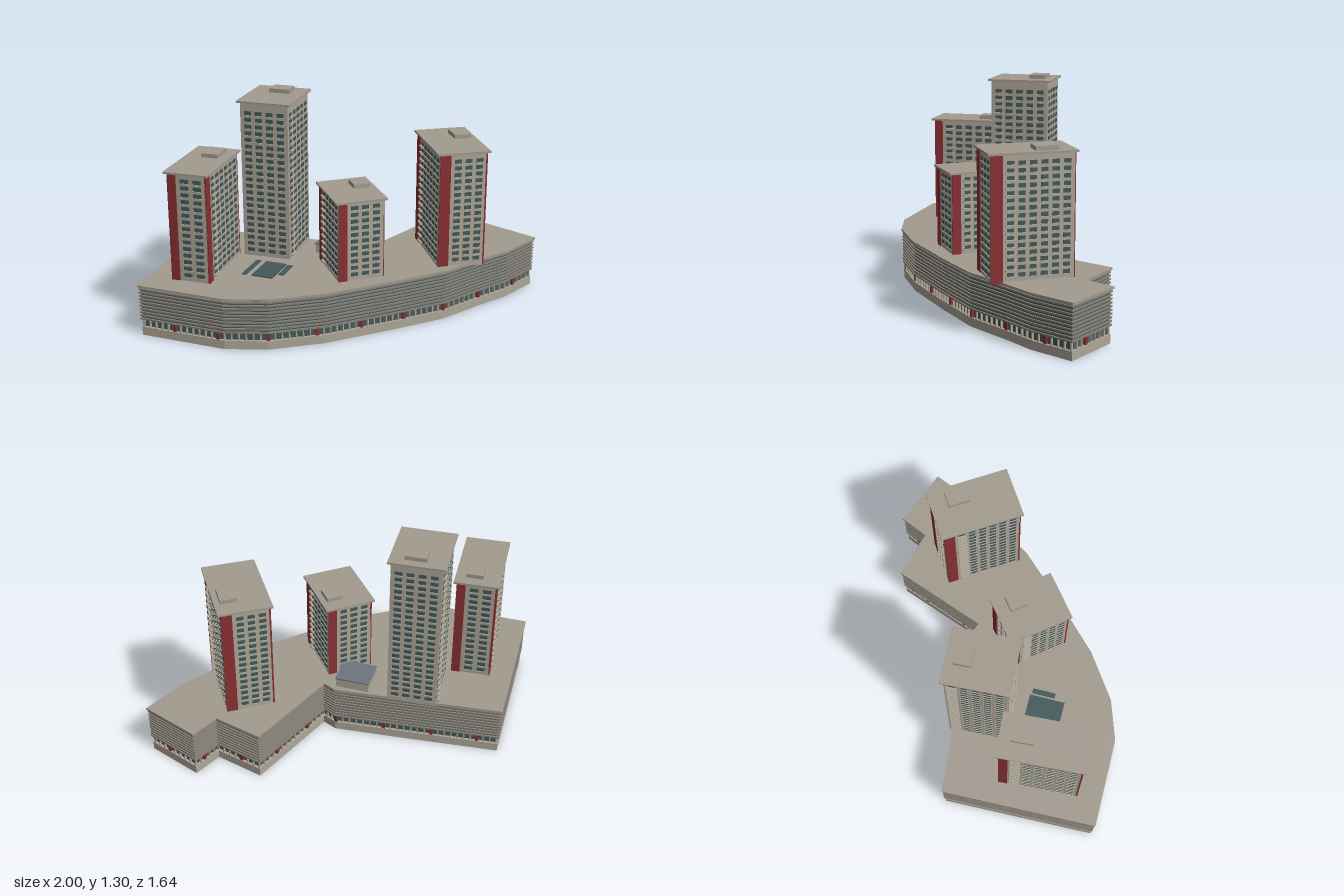
import * as THREE from 'three';
import { mergeGeometries } from 'three/addons/utils/BufferGeometryUtils.js';

const material = (name, color) => {
  const m = new THREE.MeshStandardMaterial({ color });
  m.name = name;
  return m;
};
const wall = material('warm stone', 0xaea698);
const roofing = material('roof stone', 0xa39b8f);
const louvre = material('taupe louvre', 0x878177);
const glass = material('teal glass', 0x43595a);
const red = material('brick red', 0x8a3034);
const slate = material('slate blue', 0x6d757e);

function add(parent, name, geometry, mat) {
  const mesh = new THREE.Mesh(geometry, mat);
  mesh.name = name;
  parent.add(mesh);
  return mesh;
}

// Box sitting with its bottom at y
const block = (w, h, d, x, y, z) => new THREE.BoxGeometry(w, h, d).translate(x, y + h / 2, z);

// Podium plan as (x, z), starting at the back left corner
const plan = [
  [-1, -0.115], [-0.63, -0.15], [-0.3, -0.18], [0, -0.205], [0.075, -0.17],
  [0.285, -0.735], [0.575, -0.655], [0.65, -0.825], [1, -0.69], [0.89, -0.43],
  [0.77, -0.25], [0.62, 0], [0.38, 0.25], [0.07, 0.55], [-0.2, 0.735],
  [-0.44, 0.815], [-0.975, 0.815],
].map(([x, z]) => new THREE.Vector2(x, z));

const outward = (a, b) => {
  const d = b.clone().sub(a).normalize();
  return new THREE.Vector2(d.y, -d.x);
};

// Plan moved inwards by a constant distance, with mitred corners
function inset(distance) {
  const n = plan.length;
  return plan.map((p, i) => {
    const n1 = outward(plan[(i + n - 1) % n], p);
    const n2 = outward(p, plan[(i + 1) % n]);
    return n1.clone().add(n2).multiplyScalar(-distance / (1 + n1.dot(n2))).add(p);
  });
}

// Plan extruded from y0 to y1
function storey(distance, y0, y1) {
  const shape = new THREE.Shape(inset(distance).map((p) => new THREE.Vector2(p.x, -p.y)));
  return new THREE.ExtrudeGeometry(shape, { depth: y1 - y0, bevelEnabled: false })
    .rotateX(-Math.PI / 2).translate(0, y0, 0);
}

function createPodium() {
  const g = new THREE.Group();
  g.name = 'podium';
  add(g, 'plinth', storey(0.012, 0, 0.052), wall);
  add(g, 'shopGlazing', storey(0.028, 0.052, 0.1), glass);
  add(g, 'upperGlazing', storey(0.016, 0.1, 0.302), glass);
  add(g, 'podiumRoof', storey(0, 0.302, 0.315), roofing);

  // Horizontal louvres wrapping the upper storeys
  const fins = [];
  for (let i = 0; i < 10; i++) fins.push(storey(0.006, 0.1 + i * 0.0205, 0.1095 + i * 0.0205));
  add(g, 'louvres', mergeGeometries(fins), louvre);

  // Shopfront posts and red doors along every edge
  const posts = [], doors = [];
  const line = inset(0.022);
  let count = 0;
  line.forEach((a, i) => {
    const b = line[(i + 1) % line.length];
    const steps = Math.max(2, Math.round(a.distanceTo(b) / 0.04));
    const angle = Math.atan2(-(b.y - a.y), b.x - a.x);
    for (let k = 0; k < steps; k++, count++) {
      const p = a.clone().lerp(b, k / steps);
      const isDoor = count % 7 === 3;
      (isDoor ? doors : posts).push(
        block(isDoor ? 0.02 : 0.008, 0.048, 0.014, 0, 0, 0).rotateY(angle).translate(p.x, 0.052, p.y));
    }
  });
  add(g, 'shopPosts', mergeGeometries(posts), wall);
  add(g, 'shopDoors', mergeGeometries(doors), red);

  // Roof lights and the small stair house
  const lights = [[-0.355, 0.358, 0.13, 0.215], [-0.468, 0.358, 0.027, 0.215], [-0.262, 0.33, 0.03, 0.14]];
  add(g, 'roofLights', mergeGeometries(lights.map(([x, z, w, d]) => block(w, 0.008, d, x, 0.314, z))), glass);
  add(g, 'stairHouse', block(0.2, 0.058, 0.18, -0.1, 0.31, -0.08), wall);
  add(g, 'stairHouseRoof', block(0.205, 0.008, 0.185, -0.1, 0.368, -0.08), slate);
  return g;
}

function createTower({ name, x, z, turn, w, d, top, strip, house }) {
  const g = new THREE.Group();
  g.name = name;
  g.position.set(x, 0, z);
  g.rotation.y = turn;
  const bw = w - 0.035, bd = d - 0.035, base = 0.305;
  add(g, 'towerWalls', block(bw, top - base - 0.01, bd, 0, base, 0), wall);
  add(g, 'roofSlab', block(w, 0.012, d, 0, top - 0.012, 0), roofing);
  const [hx, hz, hw, hd] = house;
  add(g, 'plantRoom', block(hw, 0.024, hd, hx, top, hz), roofing);

  const panes = [], ledges = [], strips = [];
  const pitchY = 0.0405;
  const floors = Math.floor((top - 0.345) / pitchY);
  for (let side = 0; side < 4; side++) {
    const length = side % 2 ? bd : bw;
    const out = (side % 2 ? bw : bd) / 2;
    const place = (list, geo) => list.push(geo.translate(0, 0, out).rotateY(side * Math.PI / 2));
    const start = -length / 2 + strip;
    const room = length - strip - 0.024;
    const columns = Math.round(room / 0.062);
    const pitchX = room / columns;
    if (strip) {
      place(strips, block(strip, top - base - 0.012, 0.01, -length / 2 + strip / 2, base, 0));
    }
    for (let c = 0; c < columns; c++) {
      const cx = start + 0.012 + (c + 0.5) * pitchX;
      for (let f = 0; f < floors; f++) {
        const y = 0.34 + f * pitchY;
        place(panes, block(pitchX * 0.64, 0.023, 0.004, cx, y, 0));
        // Balcony in the first column of the long sides, sills elsewhere
        const balcony = c === 0 && side % 2;
        place(ledges, balcony
          ? block(pitchX * 0.9, 0.01, 0.032, cx, y - 0.007, 0)
          : block(pitchX * 0.72, 0.004, 0.014, cx, y - 0.004, 0));
      }
    }
  }
  add(g, 'windows', mergeGeometries(panes), glass);
  add(g, 'sillsAndBalconies', mergeGeometries(ledges), wall);
  if (strip) add(g, 'redStrips', mergeGeometries(strips), red);
  return g;
}

const towers = [
  { name: 'frontLeftTower', x: -0.726, z: 0.424, turn: 0.06, w: 0.265, d: 0.505, top: 0.97,
    strip: 0.052, house: [0.02, -0.12, 0.1, 0.135] },
  { name: 'tallTower', x: -0.458, z: -0.001, turn: 0.05, w: 0.327, d: 0.385, top: 1.275,
    strip: 0, house: [0.015, -0.092, 0.125, 0.1] },
  { name: 'middleTower', x: 0.08, z: 0.152, turn: 0.67, w: 0.305, d: 0.395, top: 0.8,
    strip: 0.052, house: [0.069, -0.063, 0.095, 0.105] },
  { name: 'backRightTower', x: 0.545, z: -0.305, turn: 0.575, w: 0.315, d: 0.5, top: 1.015,
    strip: 0.064, house: [0.073, -0.084, 0.1, 0.13] },
];

export function createModel() {
  const model = new THREE.Group();
  model.name = 'towerComplex';
  model.add(createPodium());
  towers.forEach((t) => model.add(createTower(t)));
  return model;
}
